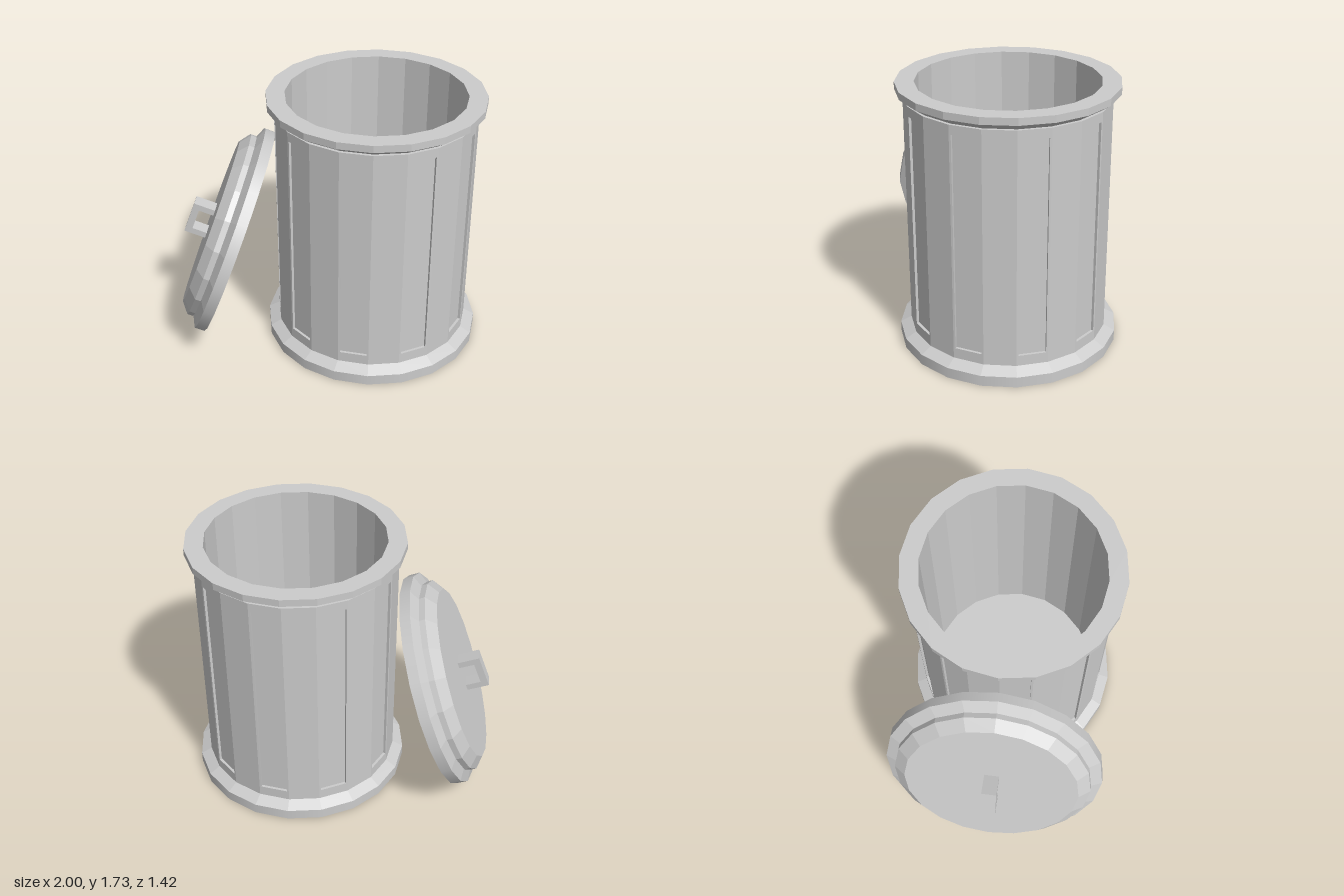
import * as THREE from 'three';
import { mergeGeometries } from 'three/addons/utils/BufferGeometryUtils.js';

const SIDES = 20;
const flat = new THREE.MeshStandardMaterial({ color: 0xcccccc, flatShading: true });
const smooth = new THREE.MeshStandardMaterial({ color: 0xcccccc });

function add(parent, name, geometry, material = flat) {
  const mesh = new THREE.Mesh(geometry, material);
  mesh.name = name;
  parent.add(mesh);
  return mesh;
}

// Faceted ring turned from [radius, height] pairs
function turned(points) {
  return new THREE.LatheGeometry(points.map(([r, y]) => new THREE.Vector2(r, y)), SIDES);
}

// Open vertical band standing on y = 0
function band(radius, height) {
  return new THREE.CylinderGeometry(radius, radius, height, SIDES, 1, true).translate(0, height / 2, 0);
}

function rectangle(Type, x, y0, y1) {
  return new Type([[-x, y0], [x, y0], [x, y1], [-x, y1]].map((p) => new THREE.Vector2(...p)));
}

// Body wall: every second facet carries a sunken panel
function wall() {
  const r = 0.64, y0 = 0.108, y1 = 1.64, depth = 0.018;
  const step = (2 * Math.PI) / SIDES;
  const half = r * Math.sin(step / 2), apothem = r * Math.cos(step / 2);
  const parts = [];
  for (let i = 0; i < SIDES; i++) {
    const pieces = [];
    const facet = rectangle(THREE.Shape, half, y0, y1);
    if (i % 2) {
      facet.holes.push(rectangle(THREE.Path, 0.0875, 0.178, 1.58));
      const frame = new THREE.ExtrudeGeometry(facet, { depth, bevelEnabled: false });
      pieces.push(frame.translate(0, 0, -depth));
      const panel = new THREE.ShapeGeometry(rectangle(THREE.Shape, 0.0875, 0.178, 1.58));
      pieces.push(panel.translate(0, 0, -depth + 0.001).toNonIndexed());
    } else {
      pieces.push(new THREE.ShapeGeometry(facet).toNonIndexed());
    }
    for (const g of pieces) parts.push(g.translate(0, 0, apothem).rotateY((i + 0.5) * step));
  }
  return mergeGeometries(parts);
}

function createCan() {
  const can = new THREE.Group();
  can.name = 'can';
  add(can, 'bottom', turned([[0, 0], [0.71, 0]]));
  add(can, 'baseBand', band(0.71, 0.07), smooth);
  add(can, 'baseSlope', turned([[0.71, 0.07], [0.64, 0.108]]));
  add(can, 'panelledWall', wall());
  // Flared rim, inner wall and floor
  add(can, 'rimAndInside', turned([
    [0.64, 1.64], [0.62, 1.64], [0.688, 1.685], [0.688, 1.73],
    [0.57, 1.73], [0.57, 0.1], [0, 0.1],
  ]));
  return can;
}

function createLid() {
  const lid = new THREE.Group();
  lid.name = 'lid';
  // Recessed underside
  add(lid, 'lidUnderside', turned([[0, 0.07], [0.57, 0.07], [0.57, 0], [0.71, 0]]));
  add(lid, 'lidBand', band(0.71, 0.068), smooth);
  // Stepped top
  add(lid, 'lidTop', turned([
    [0.71, 0.068], [0.628, 0.105], [0.64, 0.105], [0.64, 0.143], [0.567, 0.2], [0, 0.2],
  ]));
  // Square loop handle
  const outline = rectangle(THREE.Shape, 0.115, 0.195, 0.345);
  outline.holes.push(rectangle(THREE.Path, 0.074, 0.197, 0.3));
  const handle = new THREE.ExtrudeGeometry(outline, { depth: 0.096, bevelEnabled: false });
  add(lid, 'lidHandle', handle.translate(0, 0, -0.048));
  return lid;
}

export function createModel() {
  const model = new THREE.Group();
  model.name = 'trashCan';
  const can = createCan();
  can.position.x = 0.287;
  // Lid leaning against the side of the can
  const lid = createLid();
  lid.position.set(-0.612, 0.69, 0);
  lid.rotation.z = 1.211;
  model.add(can, lid);
  return model;
}
